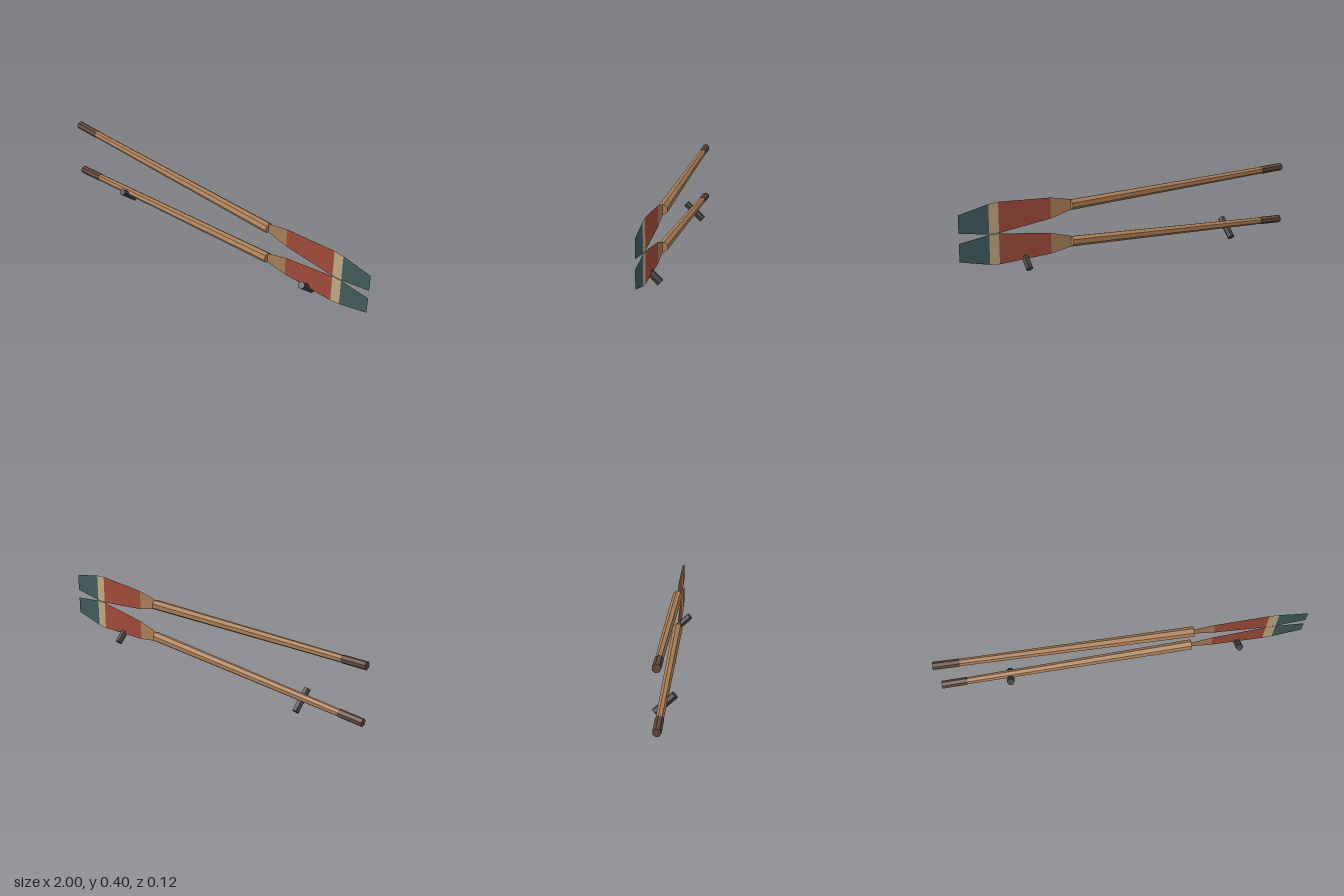
import * as THREE from 'three';

const mat = (name, color, side = THREE.FrontSide) => {
  const m = new THREE.MeshStandardMaterial({ color, flatShading: true, side });
  m.name = name;
  return m;
};

export function createModel() {
  const wood = mat('wood', 0xa87c55, THREE.DoubleSide);
  const red = mat('redPaint', 0x9e4a3b, THREE.DoubleSide);
  const cream = mat('creamPaint', 0xbda881, THREE.DoubleSide);
  const teal = mat('tealPaint', 0x405a5b, THREE.DoubleSide);
  const grip = mat('gripLeather', 0x60463a);
  const iron = mat('darkIron', 0x42403b);

  const model = new THREE.Group();
  model.name = 'oarsOnPegs';
  const Z = -0.006;

  const add = (parent, name, geometry, material) => {
    const mesh = new THREE.Mesh(geometry, material);
    mesh.name = name;
    parent.add(mesh);
    return mesh;
  };

  // Seven-sided rod from x0 to x1 along a sloping centre line
  const rod = (x0, x1, r0, r1, line) => {
    const a = new THREE.Vector2(x0, line(x0));
    const b = new THREE.Vector2(x1, line(x1));
    const g = new THREE.CylinderGeometry(r1, r0, a.distanceTo(b), 7);
    g.rotateZ(-Math.PI / 2 + b.clone().sub(a).angle());
    return g.translate((a.x + b.x) / 2, (a.y + b.y) / 2, Z);
  };

  // Flat blade: stations of x and half width, one paint band between each pair
  const stations = [[0.375, 0.027], [0.495, 0.055], [0.785, 0.08], [0.838, 0.077], [1, 0.047]];
  const bands = [['bladeNeck', wood], ['bladeField', red], ['bladeStripe', cream], ['bladeTip', teal]];

  const addOar = (name, yStart, slope) => {
    const oar = new THREE.Group();
    oar.name = name;
    model.add(oar);
    const line = (x) => yStart + slope * (x + 1);
    add(oar, 'shaft', rod(-0.99, 0.38, 0.019, 0.0285, line), wood);
    add(oar, 'handGrip', rod(-0.999, -0.86, 0.022, 0.022, line), grip);
    bands.forEach(([part, material], i) => {
      const [[xa, wa], [xb, wb]] = [stations[i], stations[i + 1]];
      const shape = new THREE.Shape([
        new THREE.Vector2(xa, line(xa) - wa),
        new THREE.Vector2(xb, line(xb) - wb),
        new THREE.Vector2(xb, line(xb) + wb),
        new THREE.Vector2(xa, line(xa) + wa),
      ]);
      add(oar, part, new THREE.ShapeGeometry(shape).translate(0, 0, Z), material);
    });
  };
  addOar('upperOar', 0.382, -0.05);
  addOar('lowerOar', 0.071, 0.0335);

  // Slanted six-sided pegs carrying the lower oar
  for (const [name, x] of [['rightPeg', -0.625], ['leftPeg', 0.64]]) {
    const g = new THREE.CylinderGeometry(0.02, 0.02, 0.135, 6, 1, false, Math.PI / 2);
    const peg = add(model, name, g, iron);
    peg.rotation.x = 0.815;
    peg.position.set(x, 0.0615, 0.001);
  }

  return model;
}
